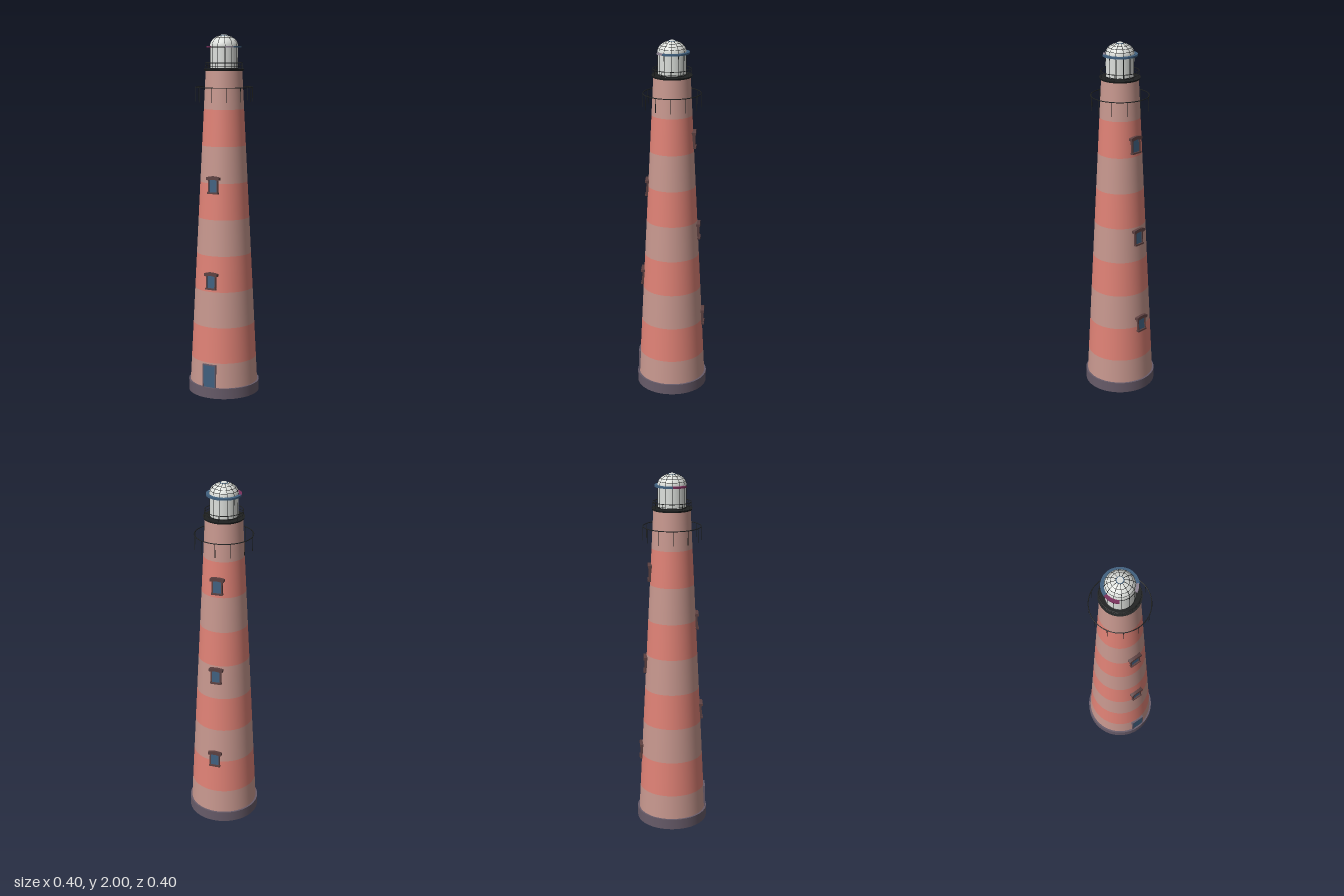
import * as THREE from 'three';

const mat = (name, color) => {
  const m = new THREE.MeshStandardMaterial({ color });
  m.name = name;
  return m;
};
const M = {
  red: mat('coral red', 0xe08276),
  pale: mat('faded pink', 0xc8988f),
  stone: mat('purple stone', 0x675b69),
  blue: mat('slate blue', 0x40607f),
  frame: mat('dark brown', 0x5c4040),
  iron: mat('black iron', 0x1e2020),
  white: mat('lantern white', 0xdde0dc),
  maroon: mat('maroon glass', 0x7a2f5c),
  grey: mat('lilac grey', 0x8f8594),
};

const Y0 = 0.06, Y1 = 1.81, R0 = 0.19, R1 = 0.1;
const SLOPE = (R0 - R1) / (Y1 - Y0);
const wallRadius = (y) => R0 - (y - Y0) * SLOPE;

function add(parent, name, geometry, material, x = 0, y = 0, z = 0) {
  const mesh = new THREE.Mesh(geometry, material);
  mesh.name = name;
  mesh.position.set(x, y, z);
  parent.add(mesh);
  return mesh;
}
const box = (w, h, d) => new THREE.BoxGeometry(w, h, d);

function hoop(parent, name, radius, y, tube, material = M.iron) {
  add(parent, name, new THREE.TorusGeometry(radius, tube, 6, 64), material, 0, y, 0).rotation.x = Math.PI / 2;
}

// Evenly spaced uprights on a circle
function posts(parent, name, count, radius, yLow, yHigh, thick) {
  const g = new THREE.CylinderGeometry(thick, thick, yHigh - yLow, 6);
  for (let i = 0; i < count; i++) {
    const a = (i / count) * Math.PI * 2;
    add(parent, name, g, M.iron, Math.sin(a) * radius, (yLow + yHigh) / 2, Math.cos(a) * radius);
  }
}

// Flat ring sector, angles in degrees measured from the front towards +x
function sector(parent, name, from, to, inner, outer, y, height, material) {
  const a = THREE.MathUtils.degToRad(from - 90), b = THREE.MathUtils.degToRad(to - 90);
  const s = new THREE.Shape();
  s.absarc(0, 0, outer, a, b, false);
  s.absarc(0, 0, inner, b, a, true);
  const g = new THREE.ExtrudeGeometry(s, { depth: height, bevelEnabled: false, curveSegments: 32 });
  add(parent, name, g, material, 0, y, 0).rotation.x = -Math.PI / 2;
}

// Window leaning with the wall; side is 1 for front, -1 for back
function windowAt(parent, y, side) {
  const pivot = new THREE.Group();
  pivot.name = 'window';
  pivot.rotation.y = side > 0 ? 0 : Math.PI;
  const w = new THREE.Group();
  w.position.set(0, y, wallRadius(y));
  w.rotation.x = -Math.atan(SLOPE);
  pivot.add(w);
  add(w, 'windowPane', box(0.046, 0.076, 0.009), M.blue, 0, 0, 0);
  for (const s of [-1, 1]) add(w, 'windowJamb', box(0.007, 0.08, 0.018), M.frame, s * 0.026, 0, 0);
  add(w, 'windowSill', box(0.064, 0.009, 0.022), M.frame, 0, -0.042, 0.002);
  // slightly arched lintel
  const s = new THREE.Shape();
  s.moveTo(-0.039, 0.03);
  s.lineTo(-0.028, 0.028);
  s.quadraticCurveTo(0, 0.037, 0.028, 0.028);
  s.lineTo(0.039, 0.03);
  s.lineTo(0.039, 0.044);
  s.quadraticCurveTo(0, 0.058, -0.039, 0.044);
  const g = new THREE.ExtrudeGeometry(s, { depth: 0.026, bevelEnabled: false });
  add(w, 'windowLintel', g, M.frame, 0, 0, -0.01);
  parent.add(pivot);
}

export function createModel() {
  const root = new THREE.Group();
  root.name = 'lighthouse';

  // Plinth and banded tower
  add(root, 'plinth', new THREE.CylinderGeometry(0.2, 0.2, 0.06, 64), M.stone, 0, 0.03, 0);
  const levels = [Y0, 0.2, 0.4, 0.6, 0.8, 1.0, 1.2, 1.4, 1.6, Y1];
  for (let i = 0; i < levels.length - 1; i++) {
    const a = levels[i], b = levels[i + 1];
    const g = new THREE.CylinderGeometry(wallRadius(b), wallRadius(a), b - a, 64, 1, true);
    add(root, 'towerBand', g, i % 2 ? M.red : M.pale, 0, (a + b) / 2, 0);
  }

  // Door
  add(root, 'door', box(0.07, 0.125, 0.02), M.blue, 0, 0.1225, 0.18);
  for (const s of [-1, 1]) add(root, 'doorJamb', box(0.006, 0.13, 0.024), M.stone, s * 0.037, 0.125, 0.18);
  add(root, 'doorHead', box(0.08, 0.006, 0.024), M.stone, 0, 0.188, 0.18);

  // Windows, staggered front and back
  for (const y of [0.66, 1.19]) windowAt(root, y, 1);
  for (const y of [0.415, 0.94, 1.465]) windowAt(root, y, -1);

  // Lower hoop with hanging rods
  const lower = new THREE.Group();
  lower.name = 'lowerGallery';
  hoop(lower, 'lowerHoop', 0.157, 1.718, 0.0025);
  posts(lower, 'lowerRod', 12, 0.157, 1.64, 1.718, 0.0015);
  root.add(lower);

  // Upper gallery with railing
  const gallery = new THREE.Group();
  gallery.name = 'upperGallery';
  add(gallery, 'galleryDeck', new THREE.CylinderGeometry(0.11, 0.106, 0.01, 64), M.iron, 0, 1.812, 0);
  hoop(gallery, 'topRail', 0.103, 1.85, 0.002);
  hoop(gallery, 'midRail', 0.103, 1.833, 0.0012);
  posts(gallery, 'railPost', 12, 0.103, 1.815, 1.85, 0.0015);
  root.add(gallery);

  // Lantern room
  const lantern = new THREE.Group();
  lantern.name = 'lantern';
  add(lantern, 'lanternWall', new THREE.CylinderGeometry(0.075, 0.075, 0.123, 48, 1, true), M.white, 0, 1.8785, 0);
  posts(lantern, 'mullion', 12, 0.075, 1.817, 1.94, 0.0018);
  hoop(lantern, 'lanternBaseHoop', 0.075, 1.82, 0.003);
  hoop(lantern, 'lanternTopHoop', 0.076, 1.935, 0.003);

  // Coloured sector ring around the light
  sector(lantern, 'blueSector', 60, 270, 0.074, 0.094, 1.931, 0.01, M.blue);
  sector(lantern, 'maroonSector', 270, 322, 0.074, 0.094, 1.931, 0.01, M.maroon);
  sector(lantern, 'greySector', 30, 60, 0.074, 0.09, 1.931, 0.01, M.grey);
  root.add(lantern);

  // Dome with ribs and hoops
  const dome = new THREE.Group();
  dome.name = 'dome';
  const DR = 0.077, DH = 0.06, DY = 1.938;
  const at = (t, r = 0) => new THREE.Vector2(Math.cos(t) * DR + r, Math.sin(t) * DH);
  const profile = [];
  for (let i = 0; i <= 12; i++) profile.push(at((i / 12) * Math.PI / 2));
  profile[12].x = 0;
  add(dome, 'domeShell', new THREE.LatheGeometry(profile, 48), M.white, 0, DY, 0);
  const ribPath = new THREE.CatmullRomCurve3(
    [0, 0.25, 0.5, 0.75, 1, 1.25, 1.35].map((t) => new THREE.Vector3(at(t).x, at(t).y, 0)));
  const ribGeometry = new THREE.TubeGeometry(ribPath, 12, 0.0014, 5);
  for (let i = 0; i < 12; i++) {
    add(dome, 'domeRib', ribGeometry, M.iron, 0, DY, 0).rotation.y = (i / 12) * Math.PI * 2;
  }
  for (const t of [0.35, 0.65, 0.95]) hoop(dome, 'domeHoop', at(t).x, DY + at(t).y, 0.0012);
  hoop(dome, 'capRing', 0.018, 1.996, 0.0025, M.blue);
  add(dome, 'domeCap', new THREE.CylinderGeometry(0.016, 0.017, 0.005, 24), M.white, 0, 1.9975, 0);
  root.add(dome);

  return root;
}
